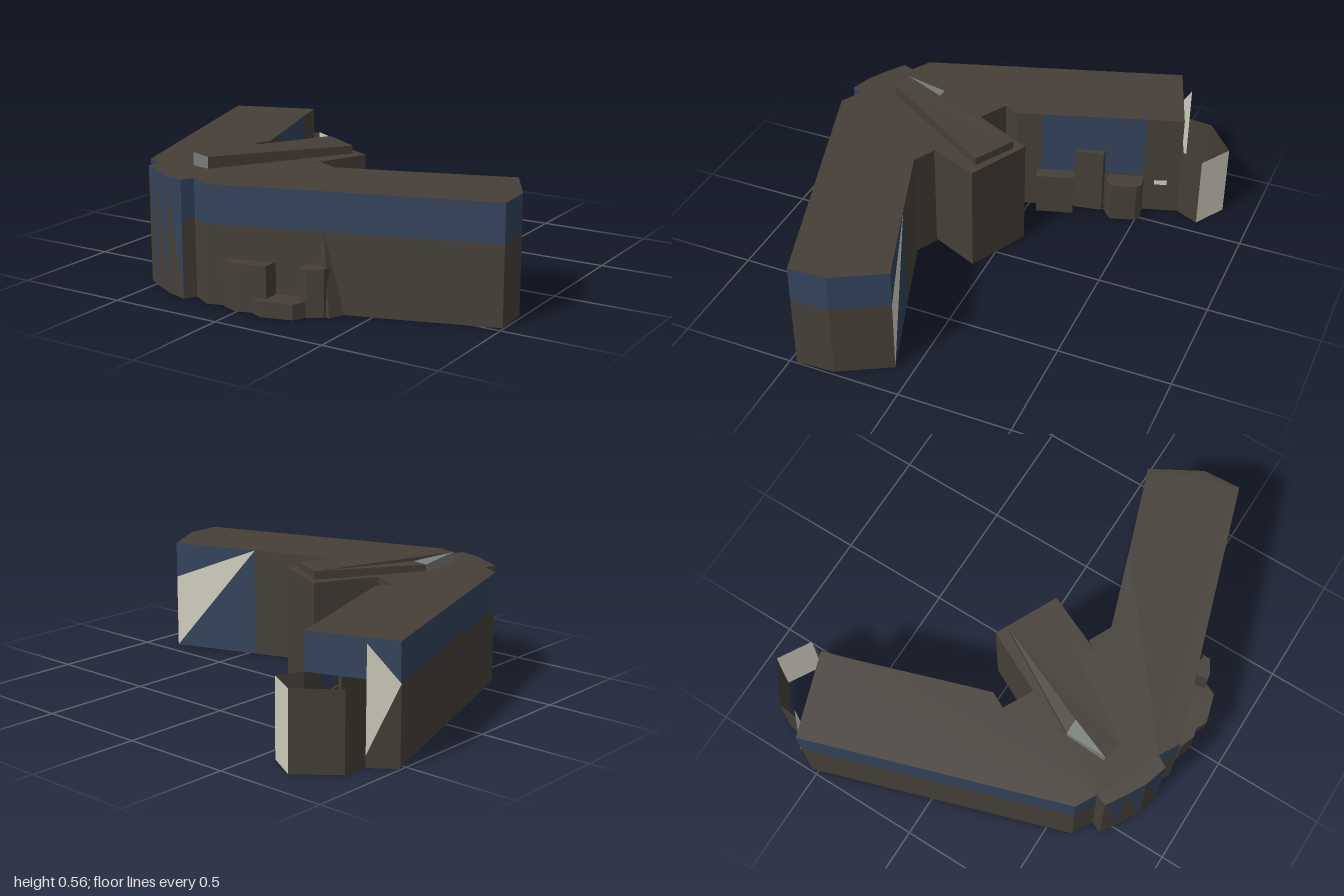
import * as THREE from 'three';

const H = 0.505, BAND = 0.34;

export function createModel() {
  const group = new THREE.Group();
  group.name = 'angledBuilding';
  const material = (name, color) => {
    const m = new THREE.MeshStandardMaterial({ color, side: THREE.DoubleSide });
    m.name = name;
    return m;
  };
  const brown = material('darkBrown', 0x463f38);
  const blue = material('slateBlue', 0x33435c);
  const cream = material('paleCream', 0xd2d0c0);
  const grey = material('greenGrey', 0x767c77);

  const add = (name, geometry, mat) => {
    const mesh = new THREE.Mesh(geometry, mat);
    mesh.name = name;
    group.add(mesh);
    return mesh;
  };
  // Flat convex face, corners counter-clockwise seen from outside
  const face = (name, mat, ...pts) => {
    const v = [];
    for (let i = 1; i < pts.length - 1; i++) v.push(...pts[0], ...pts[i], ...pts[i + 1]);
    const g = new THREE.BufferGeometry();
    g.setAttribute('position', new THREE.Float32BufferAttribute(v, 3));
    g.computeVertexNormals();
    return add(name, g, mat);
  };
  const at = ([x, z], y) => [x, y, z];
  const wall = (name, mat, a, b, y0, y1) =>
    face(name, mat, at(a, y0), at(a, y1), at(b, y1), at(b, y0));
  const planShape = (pts) => new THREE.Shape(pts.map(([x, z]) => new THREE.Vector2(x, -z)));
  // Upright prism standing on the ground
  const prism = (name, mat, pts, h) => {
    const g = new THREE.ExtrudeGeometry(planShape(pts), { depth: h, bevelEnabled: false });
    g.rotateX(-Math.PI / 2);
    return add(name, g, mat);
  };

  // Ways of dressing one wall of the outline
  const styles = {
    plain: (a, b) => wall('plainWall', brown, a, b, 0, H),
    band: (a, b) => {
      wall('lowerWall', brown, a, b, 0, BAND);
      wall('upperBand', blue, a, b, BAND, H);
    },
    open: (a, b) => wall('endBand', blue, a, b, BAND, H),
    shard: (a, b) => {
      face('shardGlass', blue, at(a, 0), at(a, H), at(b, H));
      face('shardWall', brown, at(a, 0), at(b, H), at(b, 0));
    },
    court: (a, b) => {
      wall('courtLowerWall', brown, a, b, 0, 0.2);
      wall('courtGlass', blue, a, b, 0.2, H);
    },
    glass: (a, b) => {
      face('glassTop', blue, at(a, H), at(b, H), at(b, BAND));
      face('glassPale', cream, at(a, H), at(b, BAND), at(b, 0));
      face('glassLower', blue, at(a, 0), at(a, H), at(b, 0));
    },
  };

  // Building outline: x, z and the style of the wall starting there
  const outline = [
    [-0.99, -0.53, 'open'], [-0.62, -0.66, 'plain'], [-0.57, -0.5, 'court'],
    [-0.42, -0.05, 'plain'], [-0.385, 0.06, 'plain'], [-0.42, 0.13, 'plain'],
    [-0.29, 0.2, 'plain'], [-0.155, -0.075, 'plain'], [0.12, 0.06, 'plain'],
    [0.0, 0.33, 'plain'], [0.03, 0.28, 'plain'], [0.13, 0.33, 'plain'],
    [0.47, 0.215, 'glass'], [0.86, 0.08, 'band'], [0.985, 0.3, 'band'],
    [0.995, 0.47, 'band'], [-0.16, 0.84, 'band'], [-0.25, 0.79, 'band'],
    [-0.28, 0.84, 'shard'], [-0.38, 0.81, 'shard'], [-0.47, 0.76, 'shard'],
    [-0.55, 0.71, 'plain'], [-0.53, 0.66, 'band'], [-0.62, 0.61, 'band'],
  ];
  outline.forEach((p, i) => styles[p[2]](p, outline[(i + 1) % outline.length]));

  const roof = new THREE.ShapeGeometry(planShape(outline));
  roof.rotateX(-Math.PI / 2).translate(0, H, 0);
  add('roof', roof, brown);

  // Low sloping ridge on the roof
  const A = [-0.12, -0.03], B = [0.06, 0.07], C = [-0.3, 0.63], D = [-0.39, 0.61], E = [-0.38, 0.42];
  const ridge = [[A, 0.543], [B, 0.54], [C, 0.556], [D, 0.562], [E, 0.535]];
  ridge.forEach(([p, y], i) => {
    const [q, w] = ridge[(i + 1) % ridge.length];
    face('ridgeSide', i === 2 || i === 3 ? grey : brown, at(p, H), at(p, y), at(q, w), at(q, H));
  });
  const T = [-0.31, 0.42];
  face('ridgeTop', brown, at(A, 0.543), at(T, 0.54), at(D, 0.562), at(C, 0.556), at(B, 0.54));
  face('ridgeTopBack', brown, at(A, 0.543), at(E, 0.535), at(T, 0.54));
  face('ridgePane', grey, at(E, 0.535), at(D, 0.562), at(T, 0.54));

  // Open canted bay at the end of the west wing
  const bay = [[-0.995, -0.53], [-0.89, -0.61], [-0.88, -0.72], [-0.715, -0.855], [-0.57, -0.77], [-0.62, -0.66]];
  for (let i = 1; i < 5; i++) wall('endBayWall', i === 3 ? cream : brown, bay[i], bay[i + 1], 0, BAND);
  face('endPane', cream, at(bay[0], BAND), at(bay[1], H - 0.01), at(bay[1], 0.05));
  face('endReturn', brown, at(bay[0], 0), at(bay[0], BAND), at(bay[1], 0.05), at(bay[1], 0));

  // Courtyard bays along the west wing
  prism('courtBayNorth', brown, [[-0.58, -0.5], [-0.5, -0.515], [-0.475, -0.5], [-0.44, -0.39], [-0.48, -0.35], [-0.53, -0.35]], 0.19);
  prism('courtBayMiddle', brown, [[-0.53, -0.33], [-0.485, -0.33], [-0.46, -0.2], [-0.49, -0.19]], 0.32);
  prism('courtBaySouth', brown, [[-0.48, -0.19], [-0.41, -0.215], [-0.36, -0.05], [-0.44, -0.02]], 0.2);
  wall('courtWindow', cream, [-0.585, -0.61], [-0.565, -0.555], 0.16, 0.185);

  // Entrance bays on the front of the east wing
  prism('frontBayLeft', brown, [[-0.09, 0.81], [-0.08, 0.83], [-0.01, 0.855], [0.12, 0.82], [0.12, 0.74]], 0.2);
  prism('frontStep', brown, [[0.02, 0.78], [0.05, 0.83], [0.12, 0.862], [0.25, 0.825], [0.28, 0.76], [0.28, 0.7]], 0.065);
  prism('frontBayRight', brown, [[0.24, 0.7], [0.25, 0.775], [0.28, 0.77], [0.34, 0.735], [0.34, 0.67]], 0.2);
  // Leaning buttress beside the entrance
  face('buttressLeft', brown, [0.26, 0, 0.705], [0.36, 0, 0.73], [0.31, BAND, 0.69]);
  face('buttressRight', brown, [0.36, 0, 0.73], [0.39, 0, 0.665], [0.31, BAND, 0.69]);

  return group;
}
